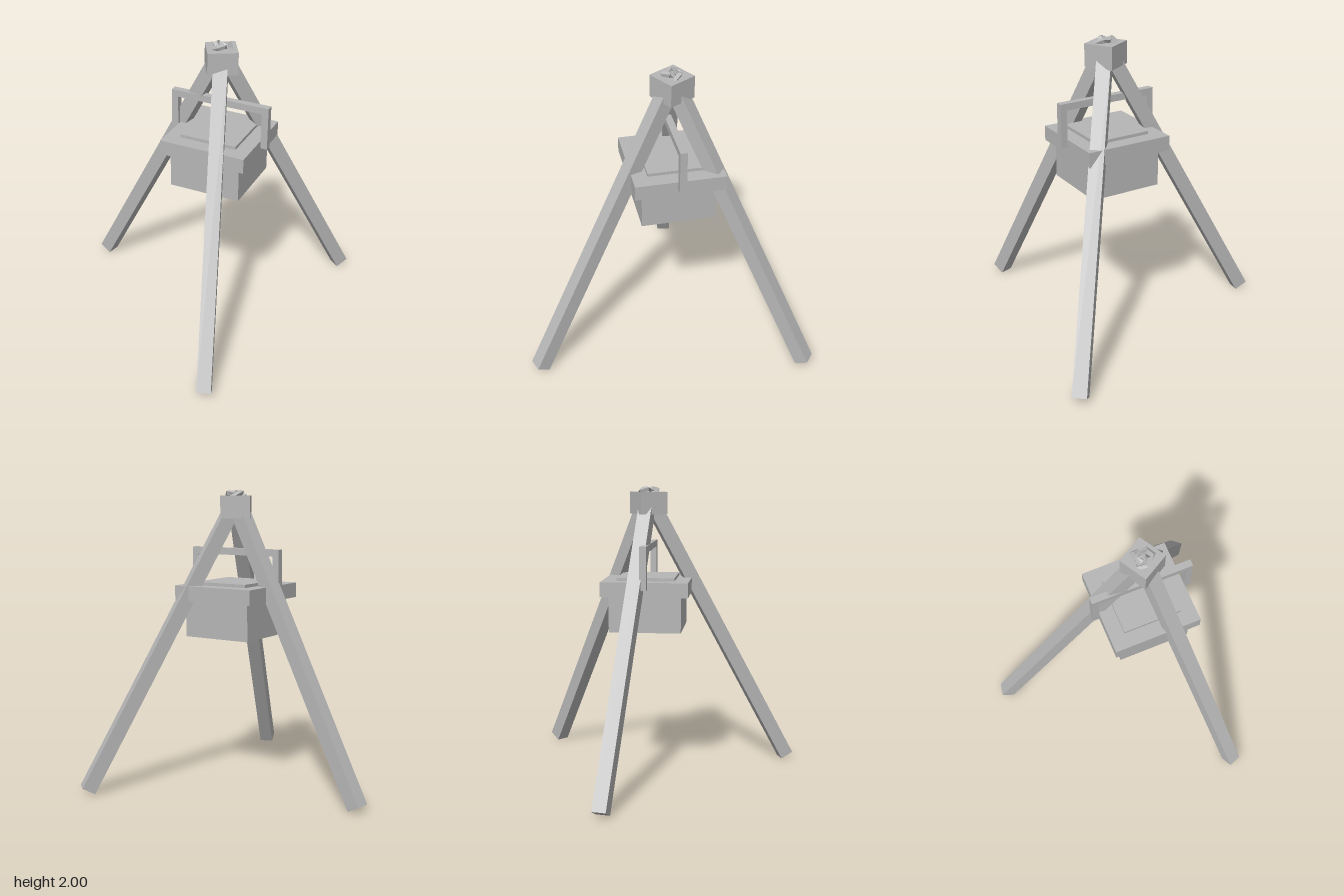
import * as THREE from 'three';

const CX = 0.168, CZ = -0.09; // shared axis of tripod and box

export function createModel() {
  const model = new THREE.Group();
  model.name = 'tripodWithBox';
  const grey = new THREE.MeshStandardMaterial({ color: 0xb6b6b6 });
  grey.name = 'plain grey';
  grey.flatShading = true;

  const rig = new THREE.Group();
  rig.name = 'rig';
  rig.position.set(CX, 0, CZ);
  model.add(rig);

  const box = (name, w, h, d, x, y, z, parent = rig) => {
    const mesh = new THREE.Mesh(new THREE.BoxGeometry(w, h, d), grey);
    mesh.name = name;
    mesh.position.set(x, y, z);
    parent.add(mesh);
    return mesh;
  };

  // three square legs, 120 degrees apart, leaning into the head block
  const tilt = THREE.MathUtils.degToRad(28.7);
  const thick = 0.094, length = 2.08;
  const footRadius = 1.04, footHeight = (thick / 2) * Math.sin(tilt);
  ['frontLeg', 'rightLeg', 'backLeg'].forEach((name, i) => {
    const leg = new THREE.Group();
    leg.name = name;
    leg.rotation.y = -THREE.MathUtils.degToRad(70 + 120 * i);
    const beam = box(name + 'Beam', thick, length, thick,
      footRadius - Math.sin(tilt) * length / 2,
      footHeight + Math.cos(tilt) * length / 2, 0, leg);
    beam.rotation.z = tilt;
    rig.add(leg);
  });

  // head block
  box('headBlock', 0.197, 0.15, 0.197, 0, 1.885, 0).rotation.y = Math.PI / 6;

  // coarse rope knot half sunk into the head block
  const knot = new THREE.Mesh(new THREE.TorusKnotGeometry(0.045, 0.018, 16, 4), grey);
  knot.name = 'ropeKnot';
  knot.rotation.x = -Math.PI / 2;
  knot.position.y = 1.96;
  rig.add(knot);

  // hanging box with lid and raised panel
  box('boxBody', 0.49, 0.25, 0.49, 0, 1.145, 0);
  box('lid', 0.592, 0.1, 0.592, 0, 1.317, 0);
  box('lidPanel', 0.394, 0.022, 0.394, 0, 1.377, 0);

  // handle over the lid
  const bar = 0.046;
  box('handleBar', 0.69, bar, bar, 0, 1.587, 0);
  for (const side of [-1, 1]) {
    box(side > 0 ? 'leftHandlePost' : 'rightHandlePost', bar, 0.25, bar,
      side * (0.345 - bar / 2), 1.443, 0);
  }
  return model;
}
